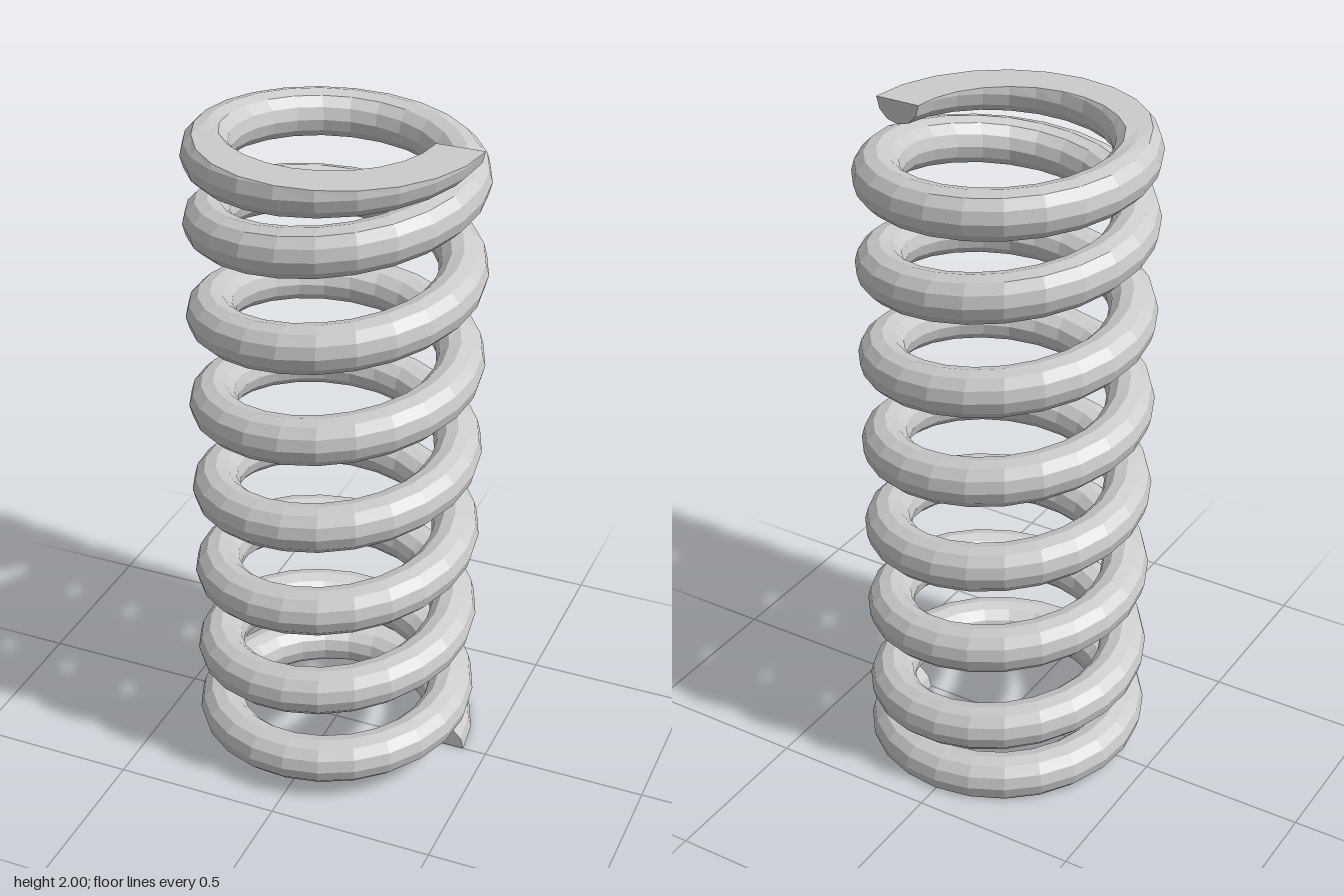
import * as THREE from 'three';

const TURNS = 8, STEPS = 24, SIDES = 12;   // coils, segments per coil, sides of the wire
const COIL_R = 0.357, WIRE_R = 0.07, HEIGHT = 2;
const END_PITCH = 1 / 7, PITCH = 2 / 7;    // closed end coils, open middle coils

// Height of the wire's centre after u turns
function centreHeight(u) {
  if (u < 1) return END_PITCH * u;
  if (u > TURNS - 1) return HEIGHT - END_PITCH * (TURNS - u);
  return END_PITCH + PITCH * (u - 1);
}

// Cross-section in the radial plane, ground flat at the bottom and top
function section(u) {
  const angle = u * Math.PI * 2, cy = centreHeight(u), points = [];
  for (let j = 0; j < SIDES; j++) {
    const a = (j / SIDES) * Math.PI * 2;
    let dr = WIRE_R * Math.cos(a), y = cy + WIRE_R * Math.sin(a);
    if (y < 0 || y > HEIGHT) {
      y = THREE.MathUtils.clamp(y, 0, HEIGHT);
      const half = Math.sqrt(Math.max(0, WIRE_R ** 2 - (y - cy) ** 2));
      dr = Math.abs(dr) < 1e-6 ? 0 : Math.sign(dr) * half;
    }
    const r = COIL_R + dr;
    points.push(r * Math.cos(angle), y, -r * Math.sin(angle));
  }
  return points;
}

function springGeometry() {
  const positions = [], index = [], last = TURNS * STEPS;
  for (let i = 0; i <= last; i++) positions.push(...section(i / STEPS));

  // Wire surface
  for (let i = 0; i < last; i++) {
    for (let j = 0; j < SIDES; j++) {
      const k = (j + 1) % SIDES;
      const a = i * SIDES + j, b = i * SIDES + k;
      const c = a + SIDES, d = b + SIDES;
      index.push(a, c, b, b, c, d);
    }
  }

  // Flat caps on the two wire ends
  const end = last * SIDES;
  for (let j = 1; j < SIDES - 1; j++) {
    index.push(0, j, j + 1);
    index.push(end, end + j + 1, end + j);
  }

  const geometry = new THREE.BufferGeometry();
  geometry.setAttribute('position', new THREE.Float32BufferAttribute(positions, 3));
  geometry.setIndex(index);
  geometry.computeVertexNormals();
  return geometry;
}

export function createModel() {
  const group = new THREE.Group();
  group.name = 'compressionSpring';
  const material = new THREE.MeshStandardMaterial({ color: 0xcccccc, flatShading: true });
  const coil = new THREE.Mesh(springGeometry(), material);
  coil.name = 'coil';
  group.add(coil);
  return group;
}
